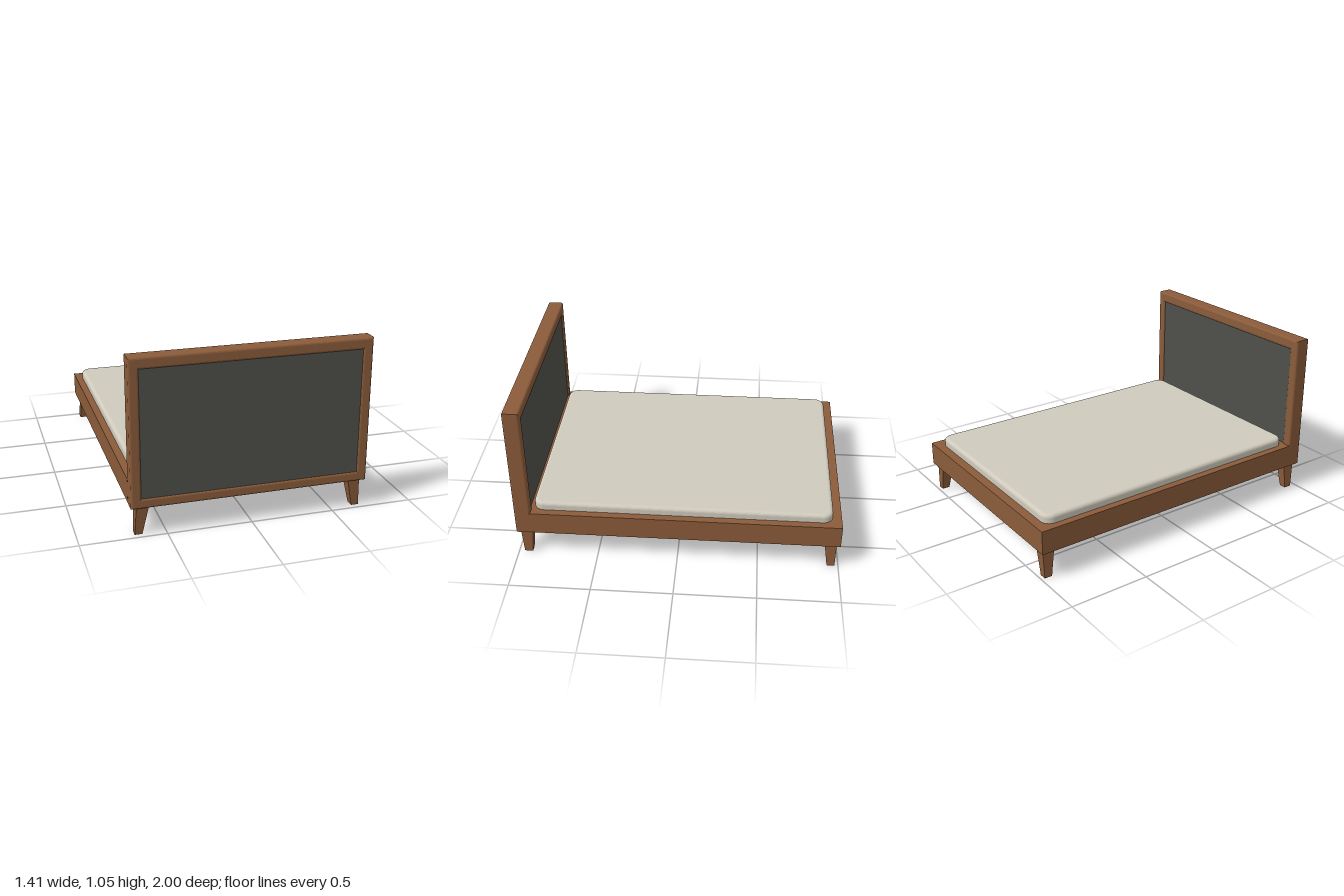
import * as THREE from 'three';

const wood = new THREE.MeshStandardMaterial({ color: 0x8a5b3a });
wood.name = 'warm wood';
const fabric = new THREE.MeshStandardMaterial({ color: 0x4f4f4a });
fabric.name = 'charcoal fabric';
const linen = new THREE.MeshStandardMaterial({ color: 0xcfcabc });
linen.name = 'off-white linen';

function part(parent, name, geometry, material, x = 0, y = 0, z = 0) {
  const mesh = new THREE.Mesh(geometry, material);
  mesh.name = name;
  mesh.position.set(x, y, z);
  parent.add(mesh);
  return mesh;
}

// Rectangle outline with optional rounded corners
function rectangle(Type, x0, y0, x1, y1, r = 0) {
  const s = new Type();
  if (r === 0) {
    s.moveTo(x0, y0).lineTo(x1, y0).lineTo(x1, y1).lineTo(x0, y1).closePath();
    return s;
  }
  s.absarc(x1 - r, y0 + r, r, -Math.PI / 2, 0);
  s.absarc(x1 - r, y1 - r, r, 0, Math.PI / 2);
  s.absarc(x0 + r, y1 - r, r, Math.PI / 2, Math.PI);
  s.absarc(x0 + r, y0 + r, r, Math.PI, Math.PI * 1.5);
  s.closePath();
  return s;
}

// Four-sided leg: each end is given as [x0, x1, z0, z1]
function legGeometry(top, bottom, height) {
  const g = new THREE.BoxGeometry(1, height, 1);
  const p = g.attributes.position;
  for (let i = 0; i < p.count; i++) {
    const e = p.getY(i) > 0 ? top : bottom;
    p.setX(i, p.getX(i) > 0 ? e[1] : e[0]);
    p.setZ(i, p.getZ(i) > 0 ? e[3] : e[2]);
  }
  g.translate(0, height / 2, 0);
  g.computeVertexNormals();
  return g;
}

export function createModel() {
  const bed = new THREE.Group();
  bed.name = 'bed';

  // Solid platform base
  part(bed, 'base', new THREE.BoxGeometry(1.41, 0.147, 1.91), wood, 0, 0.2475, -0.045);

  // Headboard frame with softened edges
  const bevel = 0.012;
  const outline = rectangle(THREE.Shape, -0.705 + bevel, 0.172 + bevel, 0.705 - bevel, 1.047 - bevel);
  outline.holes.push(rectangle(THREE.Path, -0.645 - bevel, 0.23 - bevel, 0.645 + bevel, 0.98 + bevel));
  const frame = new THREE.ExtrudeGeometry(outline, {
    depth: 0.1 - 2 * bevel, bevelEnabled: true, bevelThickness: bevel, bevelSize: bevel, bevelSegments: 3,
  });
  part(bed, 'headboardFrame', frame, wood, 0, 0, 0.9 + bevel);

  // Upholstered panel set into the frame
  part(bed, 'headboardPanel', new THREE.BoxGeometry(1.292, 0.752, 0.084), fabric, 0, 0.605, 0.95);

  // Mattress with rounded corners and a soft rim
  const soft = 0.022;
  const plan = rectangle(THREE.Shape, -0.66 + soft, -0.915 + soft, 0.66 - soft, 0.915 - soft, 0.04);
  const mattress = new THREE.ExtrudeGeometry(plan, {
    depth: 0.04, bevelEnabled: true, bevelThickness: soft, bevelSize: soft, bevelSegments: 5, curveSegments: 8,
  });
  mattress.rotateX(-Math.PI / 2);
  part(bed, 'mattress', mattress, linen, 0, 0.375 - 0.04 - soft, -0.03);

  // Tapered legs, mirrored left and right
  const ends = [
    ['frontLeg', [0.60, 0.672, 0.90, 0.98], [0.638, 0.682, 0.914, 0.965]],
    ['backLeg', [0.60, 0.672, -0.98, -0.904], [0.638, 0.682, -0.978, -0.93]],
  ];
  const flip = ([x0, x1, z0, z1]) => [-x1, -x0, z0, z1];
  for (const [name, top, bottom] of ends) {
    part(bed, name + 'Left', legGeometry(top, bottom, 0.175), wood);
    part(bed, name + 'Right', legGeometry(flip(top), flip(bottom), 0.175), wood);
  }

  return bed;
}
